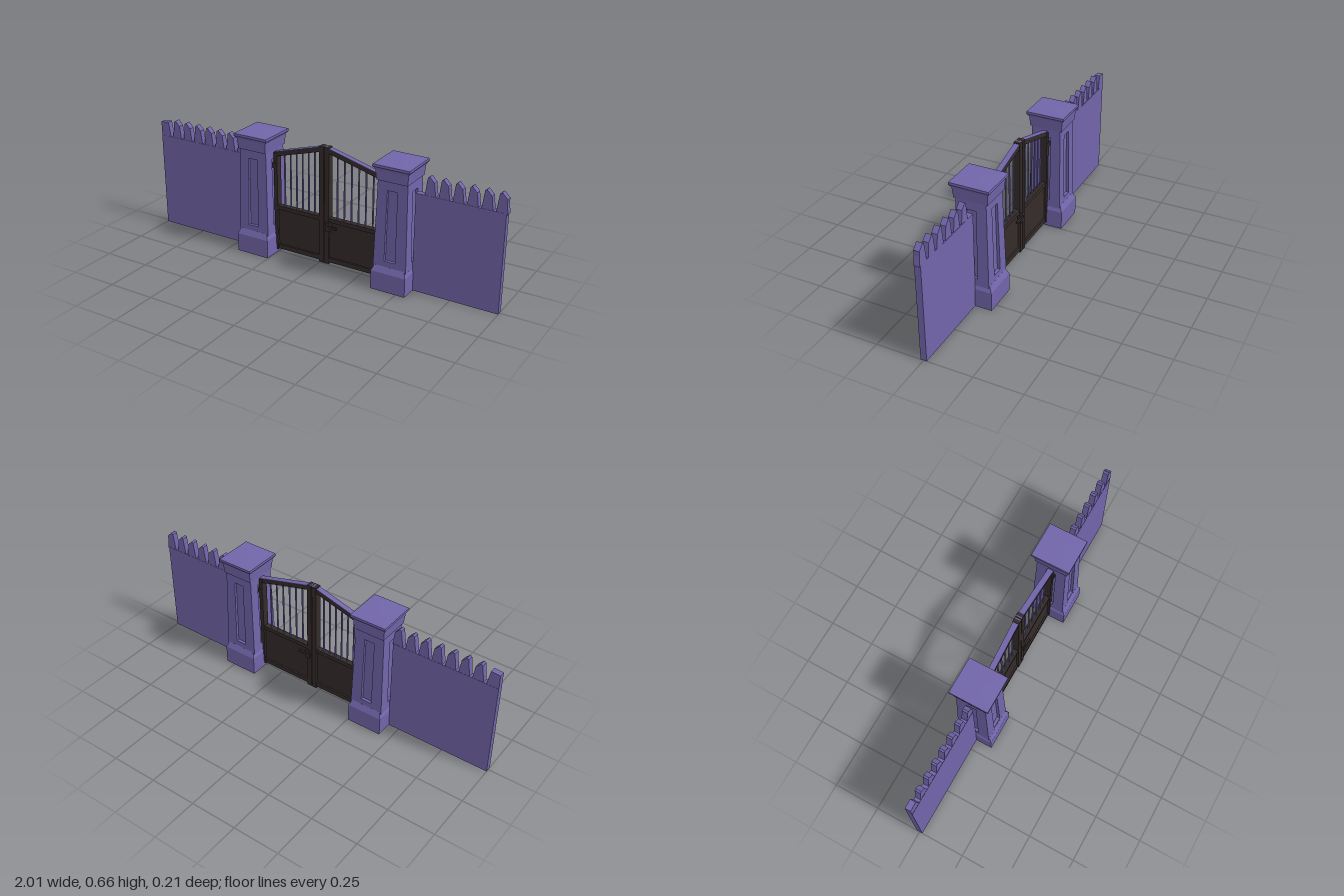
import * as THREE from 'three';

const stone = new THREE.MeshStandardMaterial({ color: 0x7165a9 });
stone.name = 'purple stone';
const iron = new THREE.MeshStandardMaterial({ color: 0x342b2a });
iron.name = 'dark iron';

function add(parent, name, geometry, material, x = 0, y = 0, z = 0) {
  const mesh = new THREE.Mesh(geometry, material);
  mesh.name = name;
  mesh.position.set(x, y, z);
  parent.add(mesh);
  return mesh;
}

// Box given by its edges in x and y and its depth in z
function block(parent, name, x0, x1, y0, y1, depth, material, z = 0) {
  const geometry = new THREE.BoxGeometry(x1 - x0, y1 - y0, depth);
  return add(parent, name, geometry, material, (x0 + x1) / 2, (y0 + y1) / 2, z);
}

// Flat outline extruded and centred on z = 0
function slab(points, depth, hole) {
  const shape = new THREE.Shape(points.map(p => new THREE.Vector2(...p)));
  if (hole) shape.holes.push(new THREE.Path(hole.map(p => new THREE.Vector2(...p))));
  const geometry = new THREE.ExtrudeGeometry(shape, { depth, bevelEnabled: false });
  return geometry.translate(0, 0, -depth / 2);
}

const rect = (w, y0, y1) => [[-w, y0], [w, y0], [w, y1], [-w, y1]];

// Square turned solid from [half width, height] pairs
function squareTurned(profile) {
  const points = profile.map(([w, y]) => new THREE.Vector2(w * Math.SQRT2, y));
  const geometry = new THREE.LatheGeometry(points, 4, Math.PI / 4).toNonIndexed();
  geometry.computeVertexNormals();
  return geometry;
}

function pillar(x) {
  const group = new THREE.Group();
  group.name = 'pillar';
  group.position.x = x;
  add(group, 'pillarBase', squareTurned([[0, 0], [0.105, 0], [0.105, 0.1], [0.09, 0.13], [0, 0.13]]), stone)
    .scale.x = 0.9;
  add(group, 'pillarCore', squareTurned([[0.074, 0.12], [0.068, 0.59]]), stone);
  // Four shaft faces with a sunken panel, tapering upwards
  for (let i = 0; i < 4; i++) {
    const face = slab(rect(0.09, 0.12, 0.59), 0.016, rect(0.03, 0.16, 0.53));
    face.translate(0, 0, 0.082).rotateY(i * Math.PI / 2);
    const p = face.attributes.position;
    for (let j = 0; j < p.count; j++) {
      const s = 1 - 0.12 * (p.getY(j) - 0.12) / 0.47;
      p.setXYZ(j, p.getX(j) * s, p.getY(j), p.getZ(j) * s);
    }
    face.computeVertexNormals();
    add(group, 'shaftFace', face, stone);
  }
  add(group, 'pillarCap', squareTurned([
    [0, 0.577], [0.088, 0.577], [0.091, 0.61], [0.093, 0.632], [0.105, 0.648], [0.104, 0.66], [0, 0.662],
  ]), stone).scale.x = 0.94;
  return group;
}

// Wall panel with a row of slanted picket tips along its top
function fence(x0, x1, firstTip, tips, leftEnd) {
  const group = new THREE.Group();
  group.name = 'fence';
  block(group, 'fenceWall', x0, x1, 0, 0.52, 0.032, stone);
  for (let i = 0; i < tips; i++) {
    const x = firstTip + i * 0.0715;
    add(group, 'picketTip', slab([
      [x - 0.026, 0.515], [x + 0.032, 0.515], [x + 0.022, 0.59], [x - 0.004, 0.617],
      [x - 0.013, 0.61],
    ], 0.03), stone);
  }
  if (leftEnd) {
    add(group, 'endPicket', slab([
      [-1, 0.515], [-0.936, 0.515], [-0.952, 0.6], [-1, 0.596],
    ], 0.03), stone);
  }
  return group;
}

// One gate leaf from its hinge side to the meeting side
function leaf(hinge, meet) {
  const group = new THREE.Group();
  group.name = 'gateLeaf';
  const d = Math.sign(meet - hinge);
  const span = Math.abs(meet - hinge);
  const at = t => hinge + d * t;
  const bar = (name, t0, t1, y0, y1, depth, material = iron, z = 0) =>
    block(group, name, Math.min(at(t0), at(t1)), Math.max(at(t0), at(t1)), y0, y1, depth, material, z);
  const topY = t => 0.565 + 0.087 * t / span;

  bar('hingePost', 0, 0.02, 0.02, 0.565, 0.036);
  bar('meetingPost', span - 0.026, span, 0.015, 0.652, 0.036);
  bar('bottomRail', 0.01, span - 0.01, 0.025, 0.05, 0.03);
  bar('middleRail', 0.01, span - 0.01, 0.25, 0.272, 0.03);
  bar('lowerPanel', 0.01, span - 0.01, 0.04, 0.26, 0.012);

  // Sloping top rail, with a pale strip on its upper face
  const strip = (y0, y1) => {
    const points = [[at(0), topY(0) + y0], [at(span), topY(span) + y0],
      [at(span), topY(span) + y1], [at(0), topY(0) + y1]];
    return points;
  };
  add(group, 'topRail', slab(strip(-0.024, 0), 0.03), iron);
  add(group, 'topRailStrip', slab(strip(0, 0.002), 0.03), stone);

  // Upright bars
  const count = 6;
  for (let i = 1; i <= count; i++) {
    const t = 0.02 + (span - 0.046) * i / (count + 1);
    const h = topY(t) - 0.01 - 0.265;
    add(group, 'gateBar', new THREE.CylinderGeometry(0.0045, 0.0045, h, 6), stone, at(t), 0.265 + h / 2, 0);
  }

  // Hinges
  for (const y of [0.08, 0.48]) bar('hinge', -0.015, 0.02, y, y + 0.025, 0.04);
  return group;
}

export function createModel() {
  const model = new THREE.Group();
  model.name = 'gateway';
  model.add(pillar(-0.348), pillar(0.455));
  model.add(fence(-1, -0.44, -0.897, 7, true), fence(0.545, 1, 0.617, 6, false));

  // Sliver closing the right end of the picket row
  add(model, 'endPicketTip', slab([[0.962, 0.515], [1, 0.515], [1, 0.59], [0.974, 0.617]], 0.03), stone);

  model.add(leaf(-0.262, 0.037), leaf(0.372, 0.041));

  // Latch on both faces of the right leaf
  const latch = new THREE.Group();
  latch.name = 'latch';
  model.add(latch);
  block(latch, 'latchBody', 0.05, 0.075, 0.2, 0.25, 0.05, iron);
  for (const z of [-0.024, 0.024]) {
    block(latch, 'latchHandle', 0.045, 0.115, 0.22, 0.232, 0.01, iron, z);
  }
  return model;
}
